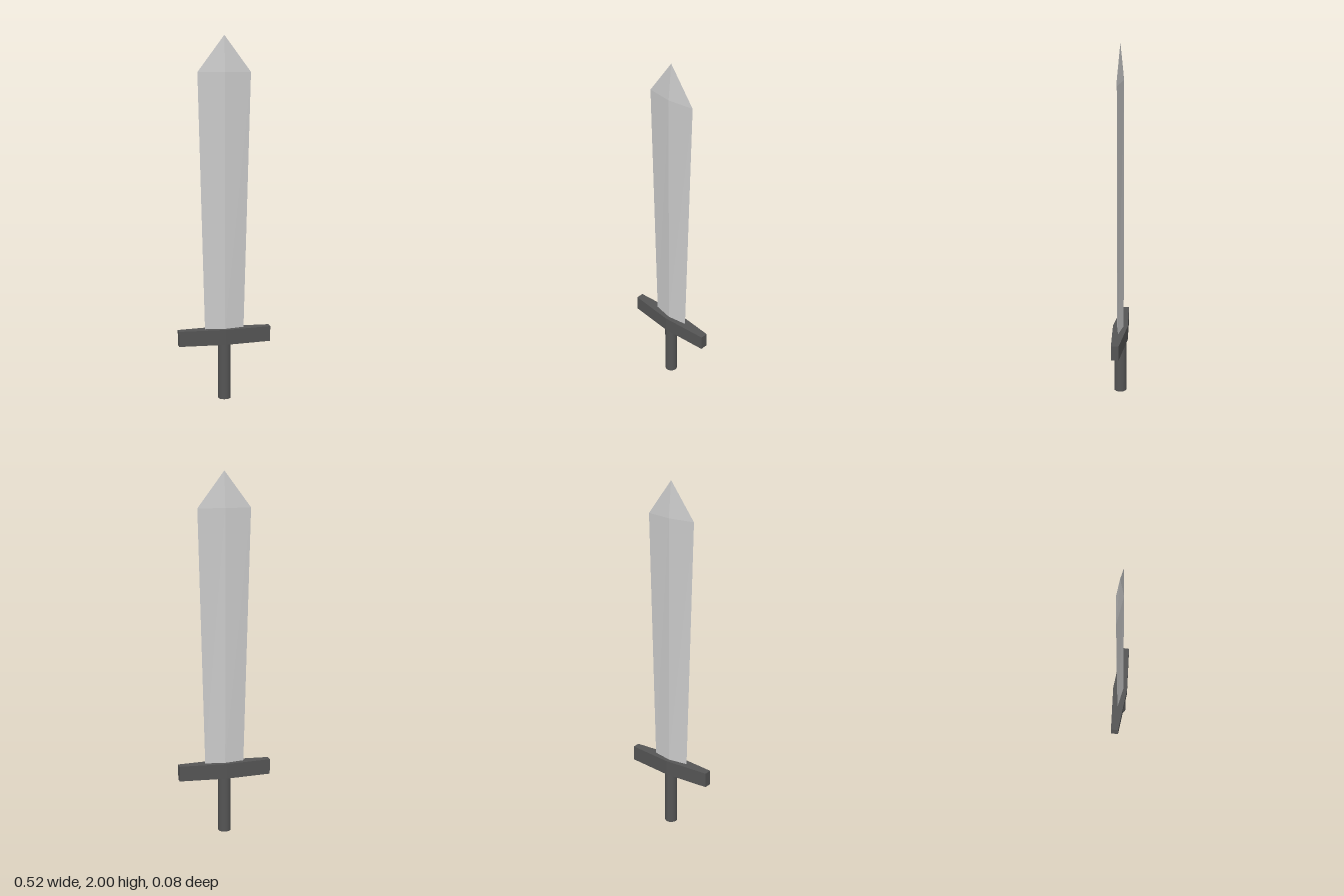
import * as THREE from 'three';

export function createModel() {
  const group = new THREE.Group();
  const steel = new THREE.MeshStandardMaterial({ color: 0xcccccc, flatShading: true });
  const dark = new THREE.MeshStandardMaterial({ color: 0x555555, flatShading: true });
  const darkSmooth = new THREE.MeshStandardMaterial({ color: 0x555555 });

  const add = (name, geometry, material) => {
    const mesh = new THREE.Mesh(geometry, material);
    mesh.name = name;
    group.add(mesh);
    return mesh;
  };

  // Blade: diamond section, widening upwards, then closing to a point
  const rows = [
    { y: 0.4, halfWidth: 0.11, halfDepth: 0.019 },
    { y: 1.805, halfWidth: 0.147, halfDepth: 0.019 },
    { y: 2, halfWidth: 0, halfDepth: 0 },
  ];
  const blade = new THREE.CylinderGeometry(0, 1, 2, 4, 2);
  const pos = blade.attributes.position;
  for (let i = 0; i < pos.count; i++) {
    const row = rows[Math.round(pos.getY(i)) + 1];
    const sx = Math.sign(Math.round(pos.getX(i) * 10));
    const sz = Math.sign(Math.round(pos.getZ(i) * 10));
    pos.setXYZ(i, sx * row.halfWidth, row.y, sz * row.halfDepth);
  }
  blade.computeVertexNormals();
  add('blade', blade, steel);

  // Crossguard: stretched hexagon, thickest in the middle
  const outline = new THREE.Shape([
    [-0.259, -0.021], [0, -0.042], [0.259, -0.021],
    [0.259, 0.021], [0, 0.042], [-0.259, 0.021],
  ].map(([x, y]) => new THREE.Vector2(x, y)));
  const guard = new THREE.ExtrudeGeometry(outline, { depth: 0.085, bevelEnabled: false });
  guard.rotateX(-Math.PI / 2);
  add('crossguard', guard, dark).position.y = 0.315;

  // Grip: plain round rod
  add('grip', new THREE.CylinderGeometry(0.035, 0.035, 0.315, 24), darkSmooth).position.y = 0.1575;

  return group;
}
